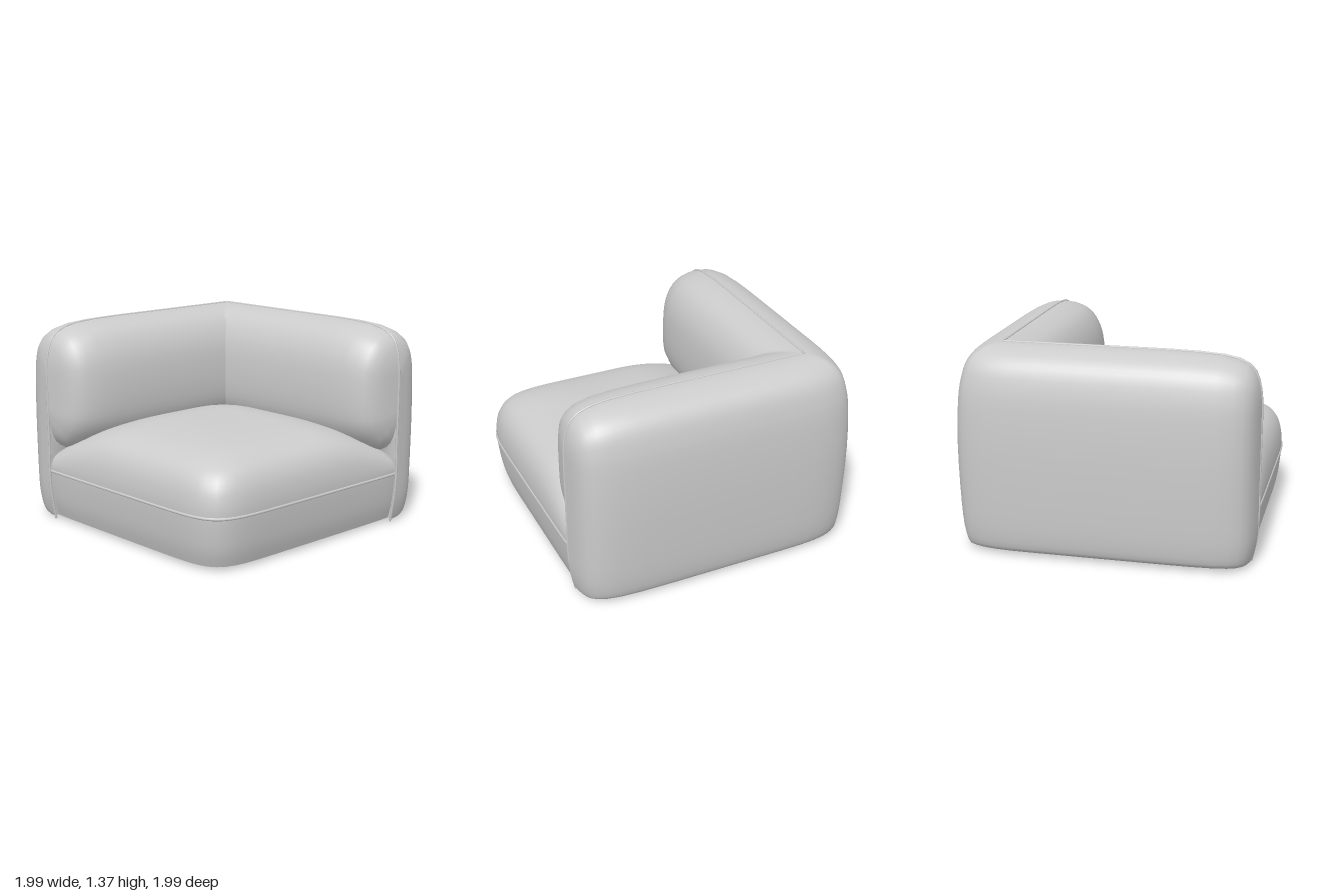
import * as THREE from 'three';
import { toCreasedNormals } from 'three/addons/utils/BufferGeometryUtils.js';

const material = new THREE.MeshStandardMaterial({ color: 0xcccccc, side: THREE.DoubleSide });
const V3 = (x, y, z) => new THREE.Vector3(x, y, z);

// Skin a list of equally long rows of points
function loft(rows, crease) {
  const n = rows[0].length, index = [];
  for (let s = 0; s < rows.length - 1; s++) {
    for (let j = 0; j < n - 1; j++) {
      const a = s * n + j, b = a + 1, c = a + n, d = c + 1;
      index.push(a, b, c, b, d, c);
    }
  }
  const g = new THREE.BufferGeometry().setFromPoints(rows.flat());
  g.setIndex(index);
  return toCreasedNormals(g, crease);
}

function smooth(points, steps) {
  const curve = new THREE.SplineCurve(points.map(([a, b]) => new THREE.Vector2(a, b)));
  return curve.getPoints((points.length - 1) * steps);
}

function addMesh(group, name, geometry) {
  const mesh = new THREE.Mesh(geometry, material);
  mesh.name = name;
  group.add(mesh);
}

const OUT = -0.99, MID = 0.31, BOTTOM = 0.03;
const mirror = (p) => V3(p.z, p.y, p.x); // arm <-> back across the corner diagonal

// Cross-section of the wall: distance from the outer face, height
const section = smooth([
  [0.31, 0.03], [0.2, 0.03], [0.07, 0.03], [0.03, 0.1], [0.01, 0.3], [0, 0.7], [0.012, 1.0],
  [0.035, 1.15], [0.07, 1.25], [0.13, 1.315], [0.22, 1.355], [0.31, 1.365], [0.41, 1.35],
  [0.51, 1.3], [0.58, 1.205], [0.62, 1.08], [0.635, 0.9], [0.625, 0.74], [0.59, 0.64],
  [0.53, 0.56], [0.45, 0.49], [0.37, 0.465], [0.31, 0.46],
], 3);
section.push(section[0].clone());
const CREST = 11 * 3;

// Rows along one wing, from the mitred corner to the closed, pillowed end
function wingRows() {
  const rows = [];
  for (const k of [0, 0.03, 0.07, 0.12, 0.18, 0.26, 0.38, 0.6, 0.8]) {
    const f = Math.max(0, 1 - k / 0.38) ** 3;
    rows.push(section.map(({ x, y }) => {
      const d = x + 0.08 * Math.max(0, 1 - x / MID) * f;
      return V3(OUT + d, y, THREE.MathUtils.lerp(OUT + d, 0.39, k));
    }));
  }
  const ends = [[0.6, 1], [0.4, 0.988], [0.25, 0.955], [0.15, 0.89], [0.09, 0.8],
    [0.05, 0.68], [0.025, 0.5], [0.01, 0.3], [0, 0]];
  for (const [e, g] of ends) {
    rows.push(section.map(({ x, y }) => {
      let h = y;
      if (y > 1.05) h = 1.05 + (y - 1.05) * g;
      else if (x > MID && y < 0.77) h = 0.77 + (y - 0.77) * g;
      const tuck = e < 0.3 ? 0.04 * Math.max(0, 1 - y / 0.25) ** 2 * (1 - e / 0.3) : 0;
      return V3(OUT + MID + (x - MID) * g, h, 0.99 - e - tuck);
    }));
  }
  return rows;
}

// Domed seat block: square with soft corners, cut straight where the walls cover it
const HALF = 0.985, POWER = 8.5, CUT = -0.69;
const outline = (t) =>
  (Math.abs(Math.cos(t)) ** POWER + Math.abs(Math.sin(t)) ** POWER) ** (-1 / POWER) * HALF;
const sag = (v) => 1 - Math.min(0.6, 0.13 * (Math.max(0, -v - 0.05) / 0.31) ** 2);

function seatGeometry() {
  const profile = [new THREE.Vector2(0, BOTTOM), ...smooth([
    [0.95, 0.03], [0.975, 0.12], [0.99, 0.22], [1, 0.35], [0.996, 0.44], [0.975, 0.53],
    [0.93, 0.605], [0.86, 0.655], [0.75, 0.695], [0.6, 0.72], [0.4, 0.736], [0.2, 0.74], [0, 0.74],
  ], 3)];
  const rows = [];
  for (let i = 0; i <= 128; i++) {
    const t = (i / 128) * Math.PI * 2, r = outline(t);
    rows.push(profile.map((p) => {
      const x = Math.max(CUT, Math.cos(t) * r * p.x), z = Math.max(CUT, Math.sin(t) * r * p.x);
      const y = p.y > 0.36 ? 0.36 + (p.y - 0.36) * sag(x) * sag(z) : p.y;
      return V3(x, y, z);
    }));
  }
  return loft(rows, 0.9);
}

function piping(points, radius) {
  const curve = new THREE.CatmullRomCurve3(points);
  return new THREE.TubeGeometry(curve, 240, radius, 8, false);
}

export function createModel() {
  const group = new THREE.Group();

  // Arm and back as one continuous L-shaped cushion wall
  const arm = wingRows();
  const back = arm.slice(1).map((row) => row.map(mirror));
  addMesh(group, 'armAndBack', loft([...arm.slice().reverse(), ...back], 1.05));

  // Seat
  addMesh(group, 'seat', seatGeometry());

  // Piping up the arm end, along the crest and down the back end
  const half = arm.slice(0, -1).map((row) => row[CREST].clone());
  half.push(V3(-0.68, 1.05, 0.988), V3(-0.68, 0.6, 0.988), V3(-0.68, 0.25, 0.986), V3(-0.68, 0.008, 0.95));
  addMesh(group, 'wallPiping', piping([...half.slice().reverse(), ...half.slice(1).map(mirror)], 0.008));

  // Piping round the open sides of the seat
  const seam = [];
  for (let i = 0; i <= 60; i++) {
    const t = THREE.MathUtils.lerp(-0.611, Math.PI / 2 + 0.611, i / 60), r = outline(t) * 0.998;
    seam.push(V3(Math.cos(t) * r, 0.352, Math.sin(t) * r));
  }
  addMesh(group, 'seatPiping', piping(seam, 0.01));

  return group;
}
